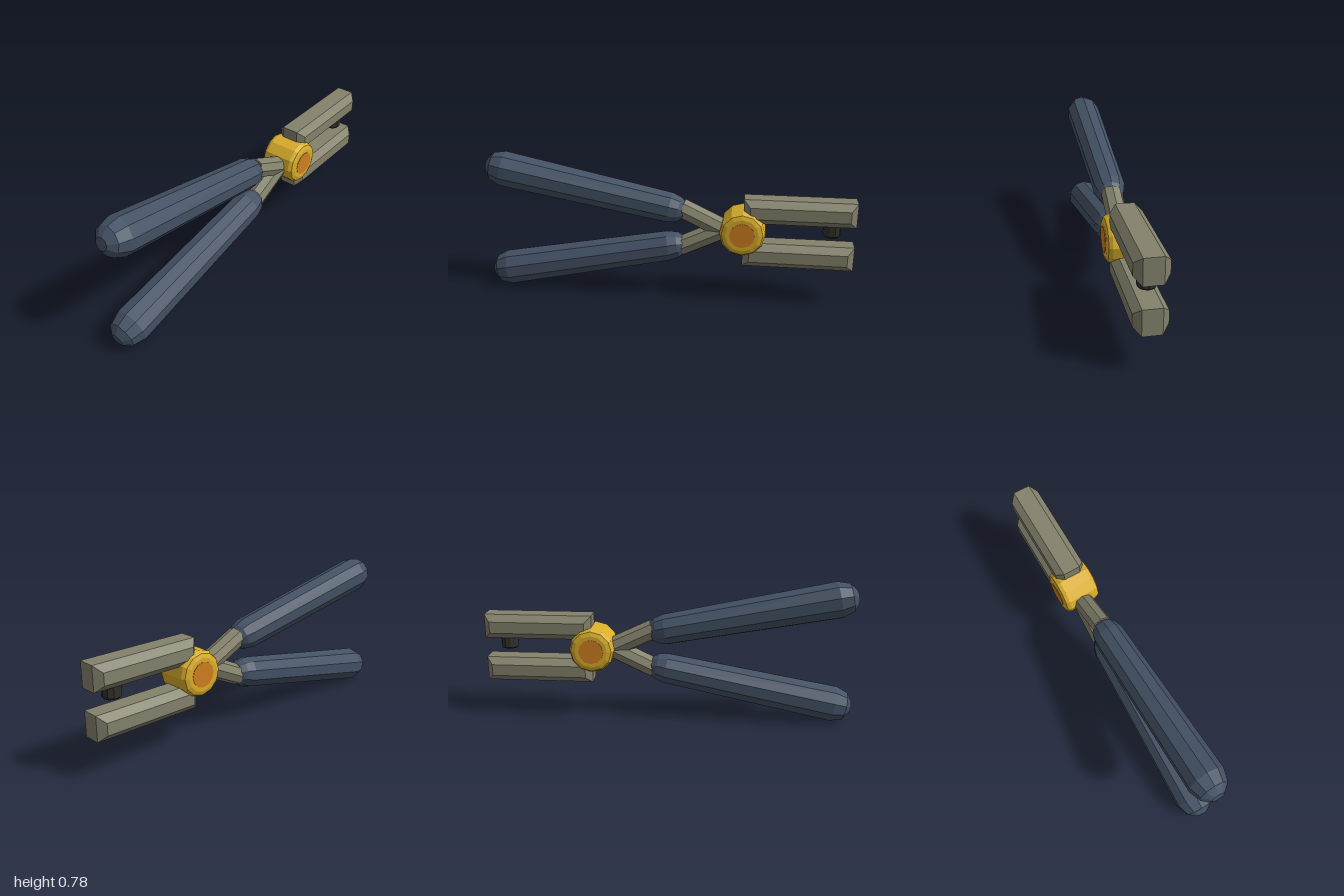
import * as THREE from 'three';

const MID = 0.391; // height of the mirror plane between the two halves

const mat = (name, color, flatShading = true) => {
  const m = new THREE.MeshStandardMaterial({ color, flatShading });
  m.name = name;
  return m;
};

export function createModel() {
  const steel = mat('warm grey steel', 0x84816b);
  const grip = mat('slate blue grip', 0x435164);
  const yellow = mat('yellow', 0xdaae2b);
  const orange = mat('orange', 0xd07f20);
  const dark = mat('dark rubber', 0x302f2a);

  const part = (name, geometry, material) => {
    const m = new THREE.Mesh(geometry, material);
    m.name = name;
    return m;
  };

  // Faceted solid of revolution; profile is [radius, height] from bottom to top
  const turned = (profile, sides) => new THREE.LatheGeometry(
    profile.map(([r, y]) => new THREE.Vector2(r, y)), sides, Math.PI / 2);

  // Lays a turned part (local y) along a direction in the xy plane
  const along = (mesh, x, y, dx, dy) => {
    mesh.position.set(x, y, 0);
    mesh.rotation.z = Math.atan2(-dx, dy);
    return mesh;
  };

  // One half, modelled above the mirror plane at y = 0
  const half = (name) => {
    const g = new THREE.Group();
    g.name = name;

    // Tapered grip with blunt rounded ends
    const gripGeo = turned([[0, -0.1], [0.035, -0.098], [0.078, -0.065], [0.1, 0],
      [0.085, 0.93], [0.072, 0.98], [0.05, 1.01], [0, 1.01]], 10);
    g.add(along(part('handleGrip', gripGeo, grip), -0.895, 0.291, 0.981, -0.194));

    // Shank from the grip into the pivot
    const shankGeo = turned([[0, 0], [0.056, 0], [0.056, 0.28], [0, 0.28]], 8);
    g.add(along(part('shank', shankGeo, steel), 0.08, 0.11, 0.9, -0.43));

    // Jaw bar, bevelled towards its two side faces
    const bevel = 0.035;
    const s = new THREE.Shape();
    s.moveTo(0.45, 0.09).lineTo(0.965, 0.09).lineTo(0.965, 0.152).lineTo(0.45, 0.152).closePath();
    const jawGeo = new THREE.ExtrudeGeometry(s, {
      depth: 0.094, bevelEnabled: true, bevelThickness: bevel, bevelSize: bevel, bevelSegments: 1,
    });
    jawGeo.translate(0, 0, -0.047);
    g.add(part('jaw', jawGeo, steel));
    return g;
  };

  const model = new THREE.Group();
  model.name = 'pliers';

  const upper = half('upperHalf');
  const lower = half('lowerHalf');
  lower.rotation.x = Math.PI;
  upper.position.y = lower.position.y = MID;
  model.add(upper, lower);

  // Pivot drum with softened rims
  const drum = part('pivotDrum', turned([[0, -0.105], [0.088, -0.105], [0.11, -0.097], [0.121, -0.078],
    [0.121, 0.078], [0.11, 0.097], [0.088, 0.105], [0, 0.105]], 12), yellow);
  drum.rotation.x = Math.PI / 2;
  drum.position.set(0.412, 0.395, 0);
  model.add(drum);

  // Thin pivot caps on both faces
  for (const side of [1, -1]) {
    const cap = part(side > 0 ? 'frontPivotCap' : 'backPivotCap',
      new THREE.CylinderGeometry(0.067, 0.067, 0.004, 12), orange);
    cap.rotation.x = Math.PI / 2;
    cap.position.set(0.412, 0.395, side * 0.105);
    model.add(cap);
  }

  // Punch stud under the upper jaw
  const stud = part('punchStud', turned([[0, 0], [0.04, 0], [0.047, 0.008], [0.047, 0.08], [0, 0.08]], 10), dark);
  stud.position.set(0.88, 0.381, 0);
  model.add(stud);

  return model;
}
